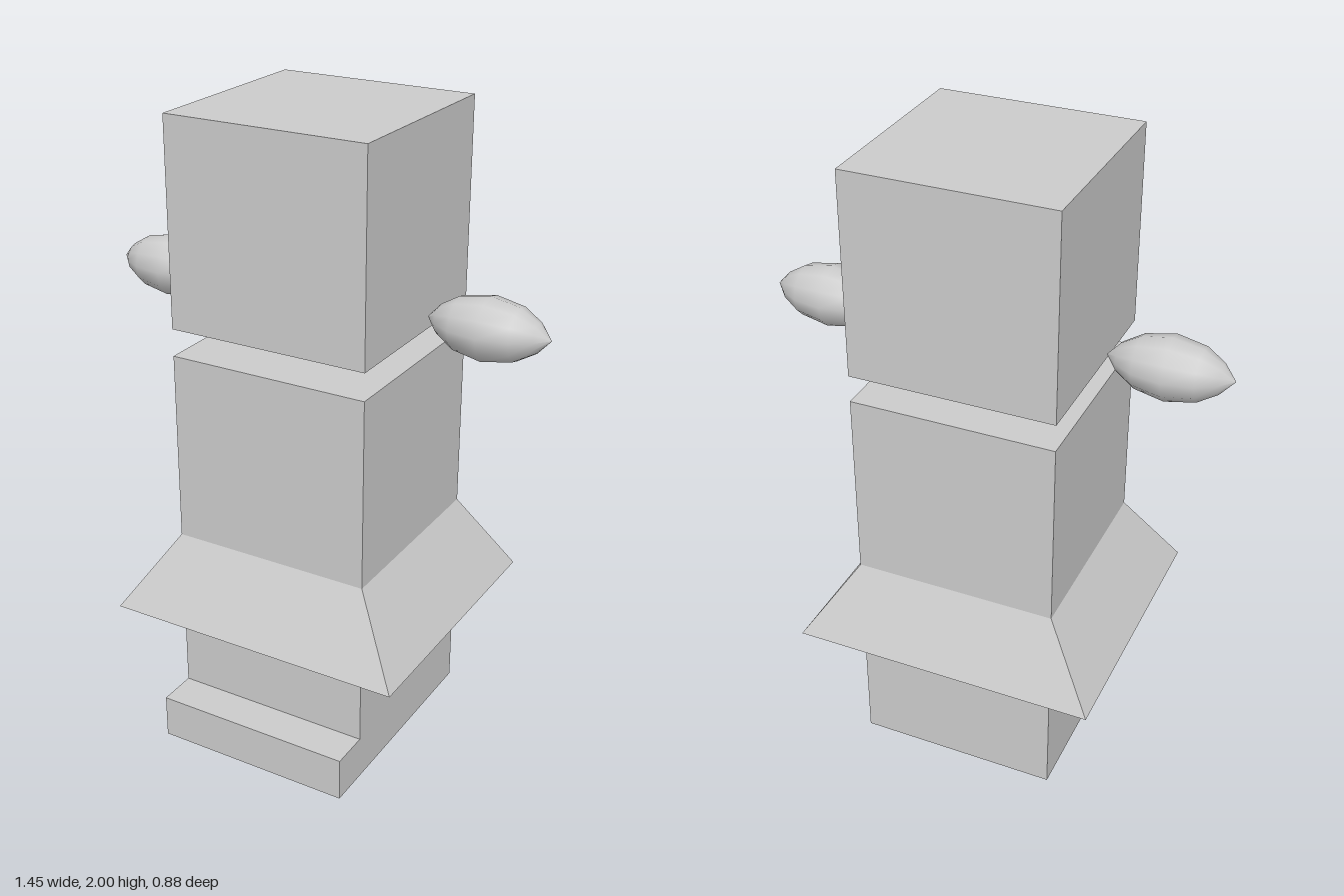
import * as THREE from 'three';

const material = new THREE.MeshStandardMaterial({ color: 0xcccccc });
const W = 0.64; // side of the square figure
const Z = -0.005; // centre of the square column in depth

function add(parent, name, geometry, x = 0, y = 0, z = 0) {
  const mesh = new THREE.Mesh(geometry, material);
  mesh.name = name;
  mesh.position.set(x, y, z);
  parent.add(mesh);
  return mesh;
}

// Box whose lower corners are moved outward to form a flared skirt
function flaredBox(top, bottom, height, topZ) {
  const g = new THREE.BoxGeometry(1, height, 1);
  const p = g.attributes.position;
  for (let i = 0; i < p.count; i++) {
    const upper = p.getY(i) > 0;
    const [w, d] = upper ? top : bottom;
    p.setX(i, p.getX(i) * w);
    p.setZ(i, p.getZ(i) * d + (upper ? topZ : 0));
  }
  g.computeVertexNormals();
  return g;
}

export function createModel() {
  const model = new THREE.Group();
  model.name = 'blockFigure';

  // Floating head above the torso
  add(model, 'head', new THREE.BoxGeometry(W, 0.635, W), 0, 1.6825, Z);
  add(model, 'torso', new THREE.BoxGeometry(W, 0.6, W), 0, 0.98, Z);

  // Flared skirt with a flat underside
  add(model, 'skirt', flaredBox([W, W], [0.965, 0.88], 0.247, Z), 0, 0.5565, 0);

  // Legs and feet share one side outline, extruded across the width
  const outline = new THREE.Shape([
    [-0.325, 0], [0.44, 0], [0.44, 0.14], [0.315, 0.14], [0.315, 0.433], [-0.325, 0.433],
  ].map(([z, y]) => new THREE.Vector2(z, y)));
  const legs = new THREE.ExtrudeGeometry(outline, { depth: W, bevelEnabled: false });
  legs.translate(0, 0, -W / 2).rotateY(-Math.PI / 2);
  add(model, 'legsAndFeet', legs);

  // Floating spindle-shaped hands
  const profile = [
    [0, -0.19], [0.045, -0.15], [0.08, -0.092], [0.097, 0],
    [0.08, 0.092], [0.045, 0.15], [0, 0.19],
  ].map(([r, y]) => new THREE.Vector2(r, y));
  const hand = new THREE.LatheGeometry(profile, 12).rotateZ(Math.PI / 2);
  for (const side of [1, -1]) {
    add(model, side > 0 ? 'leftHand' : 'rightHand', hand, side * 0.537, 1.428, -0.01);
  }
  return model;
}
